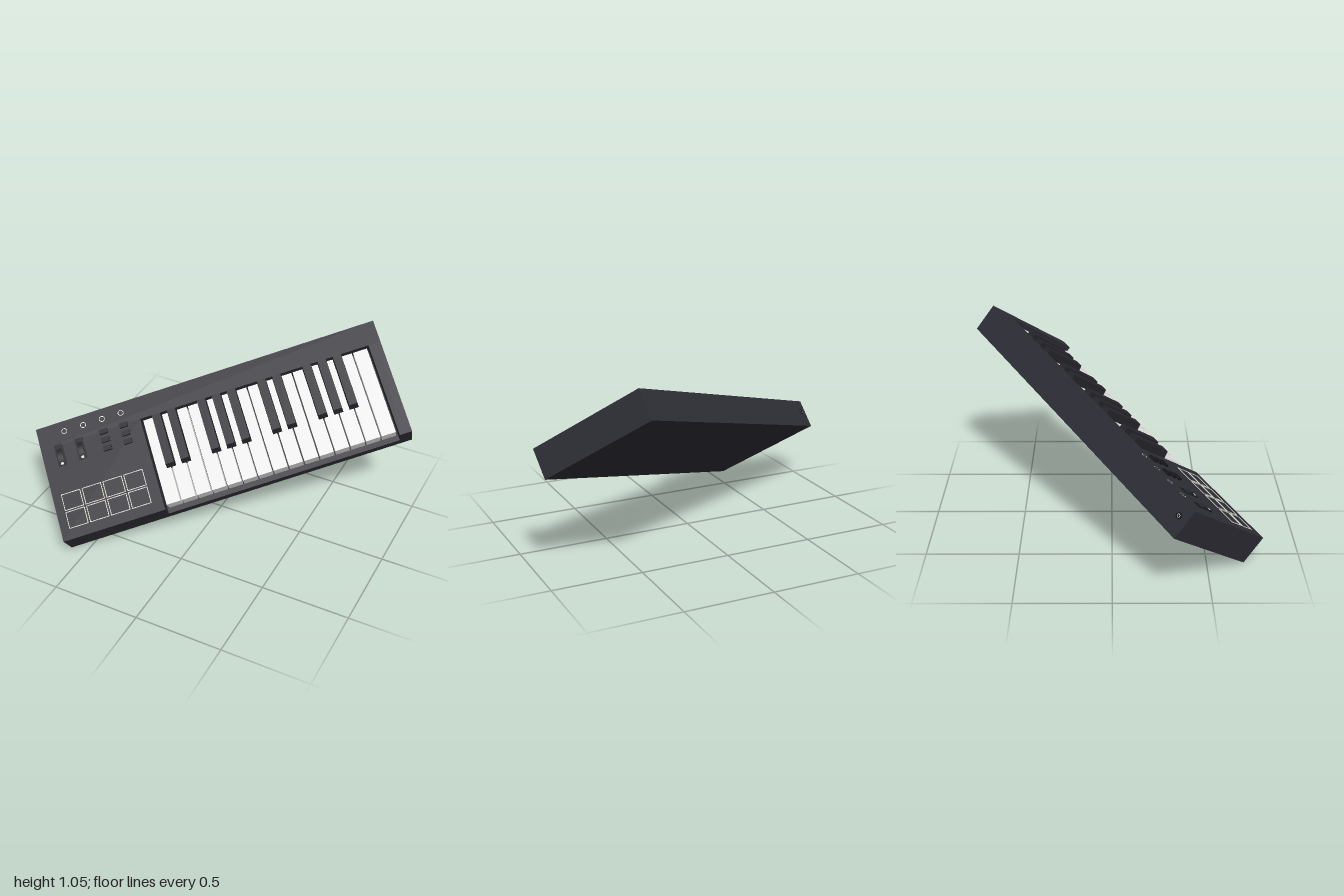
import * as THREE from 'three';

const mat = (name, color) => {
  const m = new THREE.MeshStandardMaterial({ color });
  m.name = name;
  return m;
};

export function createModel() {
  const bodyMat = mat('charcoal body', 0x2e2e36);
  const whiteMat = mat('ivory keys', 0xe8e8e8);
  const blackMat = mat('dark keys', 0x26262d);
  const wellMat = mat('black recess', 0x18181c);
  const lineMat = mat('pale markings', 0xdedbd2);

  const model = new THREE.Group();
  model.name = 'midiKeyboard';
  const board = new THREE.Group(); // s runs right, t runs forward, h is height over the top face
  board.name = 'keyboard';
  model.add(board);

  const L = 1.994, D = 0.674, H = 0.17;
  const add = (name, geo, material, s, h, t, parent = board) => {
    const m = new THREE.Mesh(geo, material);
    m.name = name;
    m.position.set(s - L / 2, h + H / 2, t - D / 2);
    parent.add(m);
    return m;
  };
  // Box given by its limits along s, h and t
  const block = (name, material, s0, s1, h0, h1, t0, t1, parent) =>
    add(name, new THREE.BoxGeometry(s1 - s0, h1 - h0, t1 - t0), material,
      (s0 + s1) / 2, (h0 + h1) / 2, (t0 + t1) / 2, parent);

  // Case around an open-fronted key well
  const w0 = 0.59, w1 = 1.925, wb = 0.13, floor = -0.104;
  block('baseSlab', bodyMat, 0, L, -H, floor, 0, D);
  block('backBar', bodyMat, 0, L, floor, 0, 0, wb);
  block('controlPanel', bodyMat, 0, w0, floor, 0, wb, D);
  block('rightCheek', bodyMat, w1, L, floor, 0, wb, D);
  block('keyWellFloor', wellMat, w0, w1, floor, floor + 0.003, wb, 0.642);

  // White keys
  const keys = new THREE.Group();
  keys.name = 'keys';
  board.add(keys);
  const k0 = 0.597, n = 15, pitch = (1.917 - k0) / n, gap = 0.004;
  for (let i = 0; i < n; i++) {
    block('whiteKey', whiteMat, k0 + i * pitch + gap, k0 + (i + 1) * pitch - gap,
      floor + 0.003, -0.025, wb + 0.006, 0.644, keys);
  }

  // Black keys, narrowed and sloped towards the top
  const bw = 0.055, b0 = wb + 0.008, b1 = 0.448, bh = 0.06;
  const blackGeo = new THREE.BoxGeometry(bw, bh, b1 - b0);
  const p = blackGeo.attributes.position;
  for (let i = 0; i < p.count; i++) {
    if (p.getY(i) > 0) {
      p.setX(i, p.getX(i) * 0.86);
      if (p.getZ(i) > 0) p.setZ(i, p.getZ(i) - 0.014);
    }
  }
  blackGeo.computeVertexNormals();
  for (let i = 1; i < n; i++) {
    if (![1, 2, 4, 5, 6].includes(i % 7)) continue;
    add('blackKey', blackGeo, blackMat, k0 + i * pitch, 0.022 - bh / 2, (b0 + b1) / 2, keys);
  }

  // Marker rings along the back of the panel
  const ringGeo = new THREE.RingGeometry(0.013, 0.017, 24).rotateX(-Math.PI / 2);
  for (let i = 0; i < 4; i++) add('markerRing', ringGeo, lineMat, 0.157 + i * 0.112, 0.002, 0.06);

  // Pitch and modulation wheels in dark slots
  const wheelGeo = new THREE.CylinderGeometry(0.08, 0.08, 0.03, 40).rotateZ(Math.PI / 2);
  for (const s of [0.102, 0.223]) {
    block('wheelSlot', wellMat, s - 0.024, s + 0.024, -0.002, 0.002, 0.125, 0.253);
    add('wheel', wheelGeo, blackMat, s, -0.068, 0.189);
    block('wheelMark', lineMat, s - 0.008, s + 0.008, 0, 0.004, 0.233, 0.247);
  }

  // Two columns of small buttons
  for (const s of [0.372, 0.491]) {
    for (let i = 0; i < 3; i++) {
      const t = 0.135 + i * 0.05;
      block('button', wellMat, s - 0.024, s + 0.024, 0, 0.012, t - 0.014, t + 0.014);
    }
  }

  // Drum pads with thin outlines
  const pw = 0.112, pd = 0.097, line = 0.004;
  const rect = (Type, w, d) => new Type([[-w, -d], [w, -d], [w, d], [-w, d]]
    .map(([x, y]) => new THREE.Vector2(x / 2, y / 2)));
  const outline = rect(THREE.Shape, pw, pd);
  outline.holes.push(rect(THREE.Path, pw - 2 * line, pd - 2 * line));
  const outlineGeo = new THREE.ExtrudeGeometry(outline, { depth: 0.003, bevelEnabled: false })
    .rotateX(-Math.PI / 2);
  for (let r = 0; r < 2; r++) {
    for (let c = 0; c < 4; c++) {
      add('padOutline', outlineGeo, lineMat, 0.106 + c * 0.122, 0, 0.461 + r * 0.105);
    }
  }

  // Socket on the back face
  const socket = (name, r, depth, material) =>
    add(name, new THREE.CylinderGeometry(r, r, depth, 20).rotateX(Math.PI / 2), material, 0.06, -0.072, 0);
  socket('socketRim', 0.018, 0.006, wellMat);
  add('socketRing', new THREE.RingGeometry(0.007, 0.01, 20).rotateY(Math.PI), lineMat, 0.06, -0.072, -0.004);

  // Tilt the whole keyboard in space
  const u = new THREE.Vector3(0.787, 0.279, -0.551).normalize();
  const up = new THREE.Vector3(0.6, -0.541, 0.59).cross(u).normalize();
  const front = new THREE.Vector3().crossVectors(u, up);
  board.quaternion.setFromRotationMatrix(new THREE.Matrix4().makeBasis(u, up, front));
  board.position.set(0, 0.53, 0);
  return model;
}
